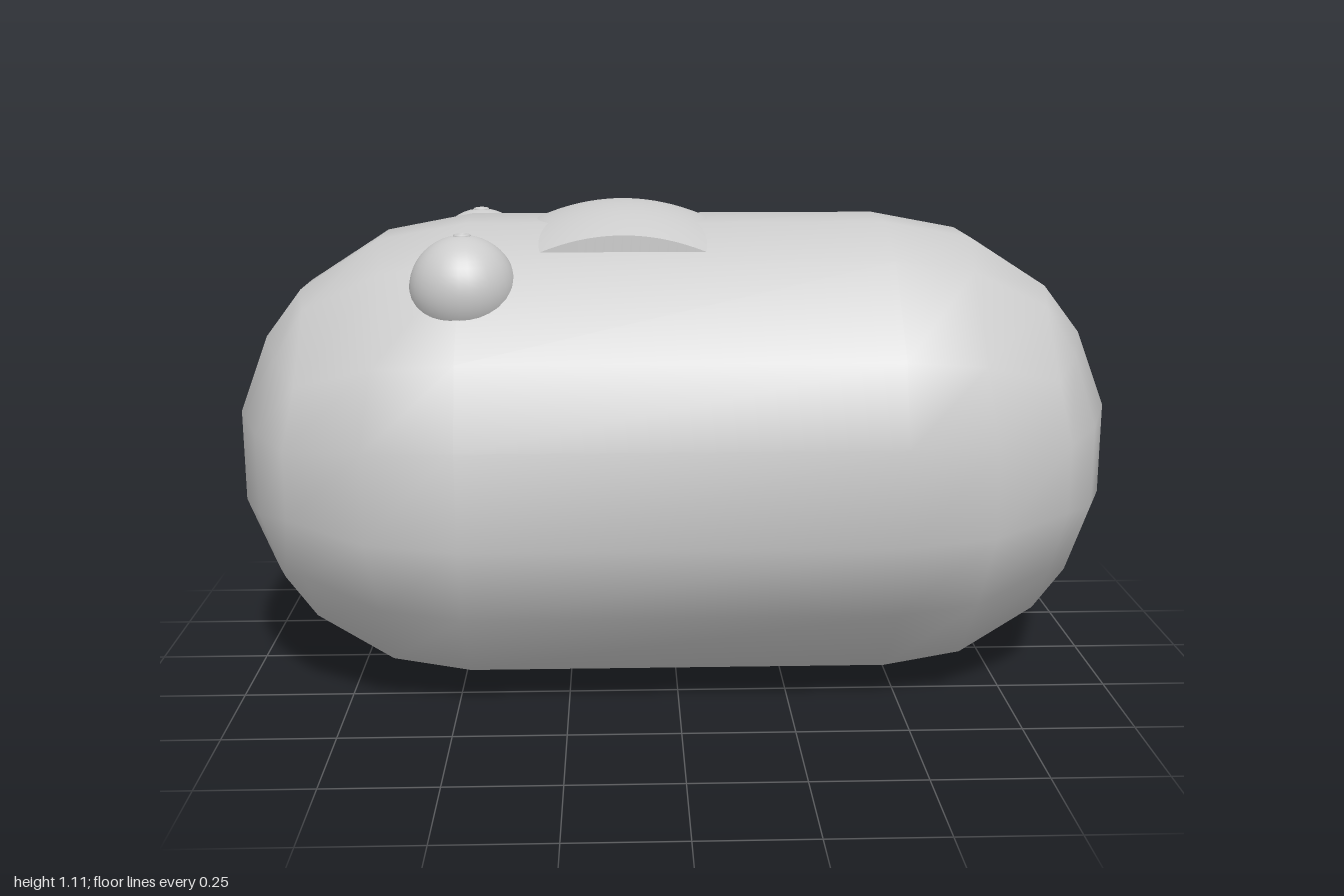
import * as THREE from 'three';
import { mergeVertices } from 'three/addons/utils/BufferGeometryUtils.js';

const RADIUS = 0.546, CAP_X = 0.475, MID_Y = 0.535;

// One quadrant of the chamfered 16-sided section, turned four times (y, z pairs)
function sectionPoints() {
  const quadrant = [[0.5, 0.1], [0.3 + 0.2, 0.3], [0.3, 0.5], [0.1, 0.5]];
  const points = [];
  for (let q = 0; q < 4; q++) {
    for (const [a, b] of quadrant) {
      points.push([[a, b], [-b, a], [-a, -b], [b, -a]][q]);
    }
  }
  return points;
}

// Capsule body: a cube grid pushed out to a sphere and stretched along x
function bodyGeometry() {
  const section = sectionPoints();
  const n = section.length;
  // Each ring: side of the body, distance along the cube, limit of the section
  const half = [[0.5, 0.1], [0.5, 0.3], [0.5, 0.5], [0.2, 0.5], [0, 0.5]];
  const rings = [
    ...half.map(([x, limit]) => [-1, x, limit]),
    ...half.slice().reverse().map(([x, limit]) => [1, x, limit]),
  ];
  const positions = [], index = [];
  for (const [side, x, limit] of rings) {
    for (const [sy, sz] of section) {
      const p = new THREE.Vector3(
        side * x,
        THREE.MathUtils.clamp(sy, -limit, limit),
        THREE.MathUtils.clamp(sz, -limit, limit)
      ).setLength(RADIUS);
      positions.push(p.x + side * CAP_X, p.y + MID_Y, p.z);
    }
  }
  for (let i = 0; i < rings.length - 1; i++) {
    for (let j = 0; j < n; j++) {
      const a = i * n + j, b = i * n + (j + 1) % n;
      index.push(a, b, a + n, b, b + n, a + n);
    }
  }
  // Flat square at each end
  const last = (rings.length - 1) * n;
  for (let j = 1; j < n - 1; j++) {
    index.push(0, j + 1, j, last, last + j, last + j + 1);
  }
  const geometry = new THREE.BufferGeometry();
  geometry.setAttribute('position', new THREE.Float32BufferAttribute(positions, 3));
  geometry.setIndex(index);
  const merged = mergeVertices(geometry, 1e-4);
  merged.computeVertexNormals();
  return merged;
}

// Raised plate on top, bowed along and across the body
function plateGeometry() {
  const geometry = new THREE.BoxGeometry(0.4, 0.1, 0.472, 20, 1, 20);
  const p = geometry.attributes.position;
  for (let i = 0; i < p.count; i++) {
    const x = p.getX(i), z = p.getZ(i);
    const top = 1.113 - 1.1 * x * x - z * z;
    p.setY(i, p.getY(i) > 0 ? top : 0.92);
  }
  geometry.computeVertexNormals();
  return geometry;
}

export function createModel() {
  const model = new THREE.Group();
  const material = new THREE.MeshStandardMaterial({ color: 0xcccccc });
  const add = (parent, name, geometry, x = 0, y = 0, z = 0) => {
    const mesh = new THREE.Mesh(geometry, material);
    mesh.name = name;
    mesh.position.set(x, y, z);
    parent.add(mesh);
    return mesh;
  };

  add(model, 'body', bodyGeometry());
  add(model, 'topPlate', plateGeometry(), -0.12);

  // Round knobs, each with a small ring at its top
  const ball = new THREE.SphereGeometry(0.117, 32, 24);
  const ring = new THREE.TorusGeometry(0.014, 0.006, 8, 16).rotateX(Math.PI / 2);
  for (const [side, z] of [['front', 0.283], ['back', -0.261]]) {
    const knob = new THREE.Group();
    knob.name = side + 'Knob';
    knob.position.set(-0.467, 0.948, z);
    add(knob, side + 'Ball', ball);
    add(knob, side + 'Ring', ring, 0, 0.114, 0);
    model.add(knob);
  }
  return model;
}
